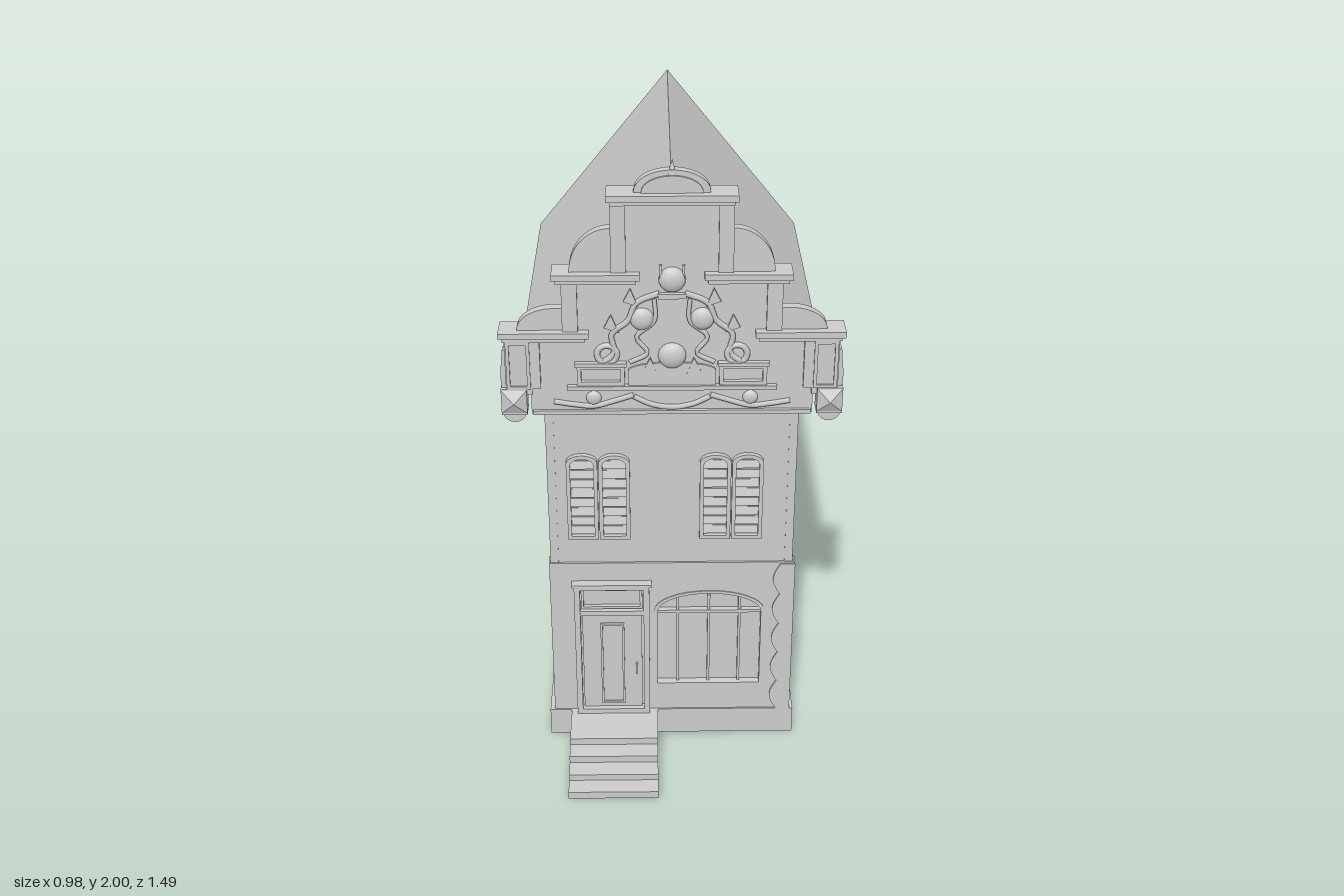
import * as THREE from 'three';

export function createModel() {
  const root = new THREE.Group();
  root.name = 'gabledHouse';
  const mat = new THREE.MeshStandardMaterial({ color: 0xcccccc, side: THREE.DoubleSide });

  // ---- helpers ----
  const add = (name, geo, x = 0, y = 0, z = 0) => {
    const m = new THREE.Mesh(geo, mat);
    m.name = name;
    m.position.set(x, y, z);
    root.add(m);
    return m;
  };
  const box = (name, x0, x1, y0, y1, z0, z1) =>
    add(name, new THREE.BoxGeometry(Math.abs(x1 - x0), y1 - y0, z1 - z0), (x0 + x1) / 2, (y0 + y1) / 2, (z0 + z1) / 2);
  const poly = (pts) => new THREE.Shape(pts.map((p) => new THREE.Vector2(p[0], p[1])));
  const rect = (x0, x1, y0, y1) => poly([[x0, y0], [x1, y0], [x1, y1], [x0, y1]]);
  const extrude = (name, shape, z0, z1, holes = []) => {
    shape.holes.push(...holes);
    return add(name, new THREE.ExtrudeGeometry(shape, { depth: z1 - z0, bevelEnabled: false, curveSegments: 16 }), 0, 0, z0);
  };
  // rectangle with an elliptical arched top
  const arched = (x0, x1, y0, y1, rise) => {
    const pts = [[x0, y0], [x1, y0]];
    const c = (x0 + x1) / 2, r = (x1 - x0) / 2;
    for (let i = 0; i <= 16; i++) {
      const a = (i / 16) * Math.PI;
      pts.push([c + r * Math.cos(a), y1 - rise + rise * Math.sin(a)]);
    }
    return poly(pts);
  };
  // rectangular frame of bars
  const frame = (name, x0, x1, y0, y1, z0, z1, t) =>
    extrude(name, rect(x0, x1, y0, y1), z0, z1, [rect(x0 + t, x1 - t, y0 + t, y1 - t)]);
  // hollow storey, open above and below
  const storey = (name, hx, z0, z1, y0, y1, t = 0.015) => {
    const m = extrude(name, rect(-hx, hx, -z1, -z0), 0, y1 - y0, [rect(-hx + t, hx - t, -z1 + t, -z0 - t)]);
    m.rotation.x = -Math.PI / 2;
    m.position.set(0, y0, 0);
  };
  const tube = (name, pts, r, z) => add(name, new THREE.TubeGeometry(
    new THREE.CatmullRomCurve3(pts.map((p) => new THREE.Vector3(p[0], p[1], z))), 24, r, 6));

  // ---- walls ----
  storey('plinth', 0.395, -0.73, 0.43, 0, 0.095, 0.03);
  storey('lowerWalls', 0.374, -0.718, 0.4, 0.095, 0.665);
  storey('upperWalls', 0.367, -0.71, 0.418, 0.665, 1.33);
  const gablePts = [[-0.367, 1.32], [0.367, 1.32], [0, 1.79]];
  extrude('backGableWall', poly(gablePts), -0.71, -0.695);
  extrude('frontGableWall', poly(gablePts), 0.4, 0.418);
  box('backBand', -0.375, 0.375, 1.235, 1.32, -0.715, -0.7);
  for (const s of [-1, 1]) {
    for (const [z0, z1] of [[0.383, 0.42], [-0.716, -0.678]]) {
      box('upperCornerPost', s * 0.35, s * 0.375, 0.665, 1.32, z0, z1);
      box('lowerCornerPost', s * 0.35, s * 0.38, 0.095, 0.665, z0, z1);
    }
    box('sideBand', s * 0.36, s * 0.372, 1.235, 1.32, -0.7, 0.4);
  }

  // ---- shop front with arched display window ----
  const wx0 = -0.055, wx1 = 0.292;
  extrude('shopFrontWall', rect(-0.38, 0.38, 0.095, 0.665), 0.4, 0.425, [arched(wx0, wx1, 0.19, 0.56, 0.075)]);
  extrude('displayWindowFrame', arched(wx0, wx1, 0.19, 0.56, 0.075), 0.403, 0.428,
    [arched(wx0 + 0.01, wx1 - 0.01, 0.2, 0.55, 0.07)]);
  for (const x of [0.02, 0.118, 0.215]) box('mullion', x - 0.004, x + 0.004, 0.195, 0.535, 0.4, 0.415);
  box('windowTransom', wx0, wx1, 0.47, 0.48, 0.4, 0.418);

  // scalloped quoins wrapping the left front corner
  const scallops = (dir, edge) => {
    const pts = [[edge, 0.095]];
    for (let i = 0; i < 5; i++) {
      for (let j = 0; j <= 8; j++) {
        pts.push([edge - dir * (0.045 + 0.022 * Math.sin((j / 8) * Math.PI)), 0.095 + 0.113 * (i + j / 8)]);
      }
    }
    pts.push([edge, 0.66]);
    return poly(pts);
  };
  extrude('frontQuoins', scallops(1, 0.384), 0.415, 0.43);
  const side = extrude('sideQuoins', scallops(-1, -0.43), 0, 0.012);
  side.rotation.y = Math.PI / 2;
  side.position.set(0.372, 0, 0);

  // ---- door ----
  frame('doorFrame', -0.305, -0.07, 0.095, 0.597, 0.42, 0.45, 0.018);
  box('doorTransom', -0.29, -0.085, 0.482, 0.498, 0.42, 0.447);
  frame('fanlightFrame', -0.284, -0.092, 0.502, 0.578, 0.42, 0.438, 0.008);
  box('doorLeaf', -0.282, -0.094, 0.098, 0.478, 0.42, 0.434);
  frame('doorPanel', -0.225, -0.15, 0.13, 0.445, 0.43, 0.441, 0.007);
  box('doorHandle', -0.114, -0.108, 0.25, 0.29, 0.434, 0.445);
  box('doorHead', -0.312, -0.063, 0.59, 0.6, 0.42, 0.453);

  // ---- steps ----
  const stepTops = [[0.745, 0.025], [0.69, 0.047], [0.632, 0.071], [0.575, 0.095]];
  const top = [];
  let last = 0;
  for (const [z, y] of stepTops) { top.push([-z, last], [-z, y]); last = y; }
  top.push([-0.42, 0.095]);
  const under = top.slice().reverse().map(([z, y]) => [z + 0.01, Math.max(0, y - 0.01)]);
  for (const [name, pts, x, w] of [['stepTreads', top.concat(under), -0.325, 0.28],
    ['stepCheek', top.concat([[-0.42, 0]]), -0.325, 0.012], ['stepCheek', top.concat([[-0.42, 0]]), -0.057, 0.012]]) {
    const m = extrude(name, poly(pts), 0, w);
    m.rotation.y = Math.PI / 2;
    m.position.set(x, 0, 0);
  }

  // ---- louvred shutters ----
  for (const x of [-0.317, -0.22, 0.085, 0.182]) {
    const x1 = x + 0.094;
    extrude('shutterFrame', arched(x, x1, 0.758, 1.055, 0.028), 0.415, 0.434,
      [arched(x + 0.012, x1 - 0.012, 0.77, 1.043, 0.022)]);
    for (let i = 0; i < 8; i++) {
      const m = box('louvre', x + 0.01, x1 - 0.01, 0.774 + i * 0.033, 0.8 + i * 0.033, 0.42, 0.425);
      m.rotation.x = -0.25;
    }
  }

  // ---- roof ----
  for (const s of [-1, 1]) {
    extrude('roofSlope', poly([[0, 1.88], [s * 0.45, 1.322], [s * 0.411, 1.29], [0, 1.8]]), -0.745, 0.452);
  }

  // ---- stepped gable ----
  const half = [[0.405, 1.235], [0.405, 1.485], [0.305, 1.485], [0.305, 1.67], [0.165, 1.67], [0.165, 1.9]];
  extrude('gableWall', poly(half.concat(half.slice().reverse().map(([x, y]) => [-x, y]))), 0.452, 0.495);
  const moulding = (x0, x1, y) => {
    box('corniceBed', x0 + 0.01, x1 - 0.01, y - 0.025, y - 0.01, 0.447, 0.512);
    box('cornice', x0, x1, y - 0.012, y + 0.006, 0.437, 0.52);
  };
  moulding(-0.18, 0.18, 1.903);
  for (const s of [-1, 1]) {
    const span = (a, b, y) => moulding(Math.min(s * a, s * b), Math.max(s * a, s * b), y);
    span(0.235, 0.49, 1.495);
    span(0.09, 0.335, 1.672);
    // outer ears with faceted pendants
    box('ear', s * 0.4, s * 0.475, 1.3, 1.485, 0.465, 0.505);
    frame('earPanel', s * 0.4375 - 0.034, s * 0.4375 + 0.034, 1.32, 1.47, 0.505, 0.511, 0.01);
    const pts = [[s * 0.46, 1.29], [s * 0.485, 1.29], [s * 0.49, 1.36], [s * 0.482, 1.44], [s * 0.46, 1.44]];
    extrude('earScroll', poly(pts), 0.472, 0.5);
    const bx = s * 0.453;
    box('pendantBlock', bx - 0.037, bx + 0.037, 1.24, 1.322, 0.46, 0.513);
    const pyramid = add('pendantDiamond', new THREE.ConeGeometry(0.05, 0.018, 4, 1).toNonIndexed(), bx, 1.282, 0.522);
    pyramid.geometry.rotateY(Math.PI / 4).rotateX(Math.PI / 2);
    pyramid.geometry.computeVertexNormals();
    const bulb = add('pendantBulb', new THREE.CylinderGeometry(0.034, 0.034, 0.04, 20), bx, 1.246, 0.485);
    bulb.rotation.x = Math.PI / 2;
    // pilasters of the upper tiers
    for (const [x0, x1, y0, y1] of [[0.265, 0.309, 1.5, 1.65], [0.128, 0.17, 1.68, 1.88], [0.375, 0.408, 1.32, 1.475]]) {
      box('pilaster', s * x0, s * x1, y0, y1, 0.46, 0.506);
    }
    // rounded shoulders on each step
    for (const [cx, cy, rx, ry] of [[0.33, 1.5, 0.108, 0.068], [0.17, 1.677, 0.116, 0.13]]) {
      const arc = (k) => Array.from({ length: 13 }, (_, i) => {
        const a = (i / 12) * Math.PI / 2;
        return [s * (cx + (rx - k) * Math.cos(a)), cy + (ry - k) * Math.sin(a)];
      });
      const inner = s * (cx - 0.03);
      extrude('shoulder', poly([[inner, cy], ...arc(0), [inner, cy + ry]]), 0.465, 0.495);
    }
  }
  extrude('crown', arched(-0.105, 0.105, 1.905, 1.973, 0.062), 0.465, 0.492);
  extrude('crownPanel', arched(-0.085, 0.085, 1.908, 1.958, 0.048), 0.49, 0.498);
  add('finial', new THREE.LatheGeometry([[0, -0.022], [0.012, -0.018], [0.016, -0.008], [0.008, 0], [0.004, 0.016], [0, 0.03]]
    .map((p) => new THREE.Vector2(...p)), 12), 0, 1.97, 0.48);

  // ---- gable relief ----
  const boss = (name, x, y, r) => add(name, new THREE.SphereGeometry(r, 16, 12), x, y, 0.495).scale.set(1, 1, 0.55);
  boss('topUrn', 0, 1.655, 0.038);
  boss('centreBoss', 0, 1.42, 0.04);
  box('urnFoot', -0.04, 0.04, 1.6, 1.615, 0.49, 0.507);
  extrude('centrePanel', arched(-0.125, 0.125, 1.325, 1.4, 0.025), 0.49, 0.502);
  box('reliefSill', -0.3, 0.3, 1.315, 1.328, 0.49, 0.51);
  box('lowerMoulding', -0.4, 0.4, 1.235, 1.247, 0.452, 0.505);
  tube('lowerGarland', [[-0.11, 1.29], [-0.06, 1.265], [0, 1.255], [0.06, 1.265], [0.11, 1.29]], 0.008, 0.497);
  for (const s of [-1, 1]) {
    boss('sideBoss', s * 0.085, 1.535, 0.034);
    boss('lowerRosette', s * 0.225, 1.285, 0.022);
    box('urnHorn', s * 0.028, s * 0.036, 1.66, 1.7, 0.49, 0.502);
    frame('reliefBlock', s * 0.203 - 0.068, s * 0.203 + 0.068, 1.33, 1.395, 0.49, 0.508, 0.012);
    box('reliefBlockCap', s * 0.13, s * 0.277, 1.39, 1.402, 0.49, 0.512);
    tube('scroll', [[s * 0.035, 1.615], [s * 0.1, 1.585], [s * 0.125, 1.53], [s * 0.17, 1.49], [s * 0.165, 1.43], [s * 0.21, 1.39]], 0.009, 0.497);
    tube('innerScroll', [[s * 0.05, 1.6], [s * 0.05, 1.53], [s * 0.1, 1.48], [s * 0.07, 1.43], [s * 0.12, 1.4]], 0.007, 0.497);
    tube('leafSwag', [[s * 0.34, 1.275], [s * 0.28, 1.265], [s * 0.225, 1.26], [s * 0.17, 1.275], [s * 0.11, 1.295]], 0.008, 0.497);
    add('volute', new THREE.TorusGeometry(0.028, 0.009, 8, 20), s * 0.185, 1.425, 0.497);
    for (const [x, y] of [[0.115, 1.6], [0.17, 1.52], [0.06, 1.385]]) {
      extrude('leaf', poly([[s * (x - 0.02), y - 0.025], [s * (x + 0.022), y - 0.01], [s * (x + 0.002), y + 0.03]]), 0.49, 0.503);
    }
  }
  return root;
}
